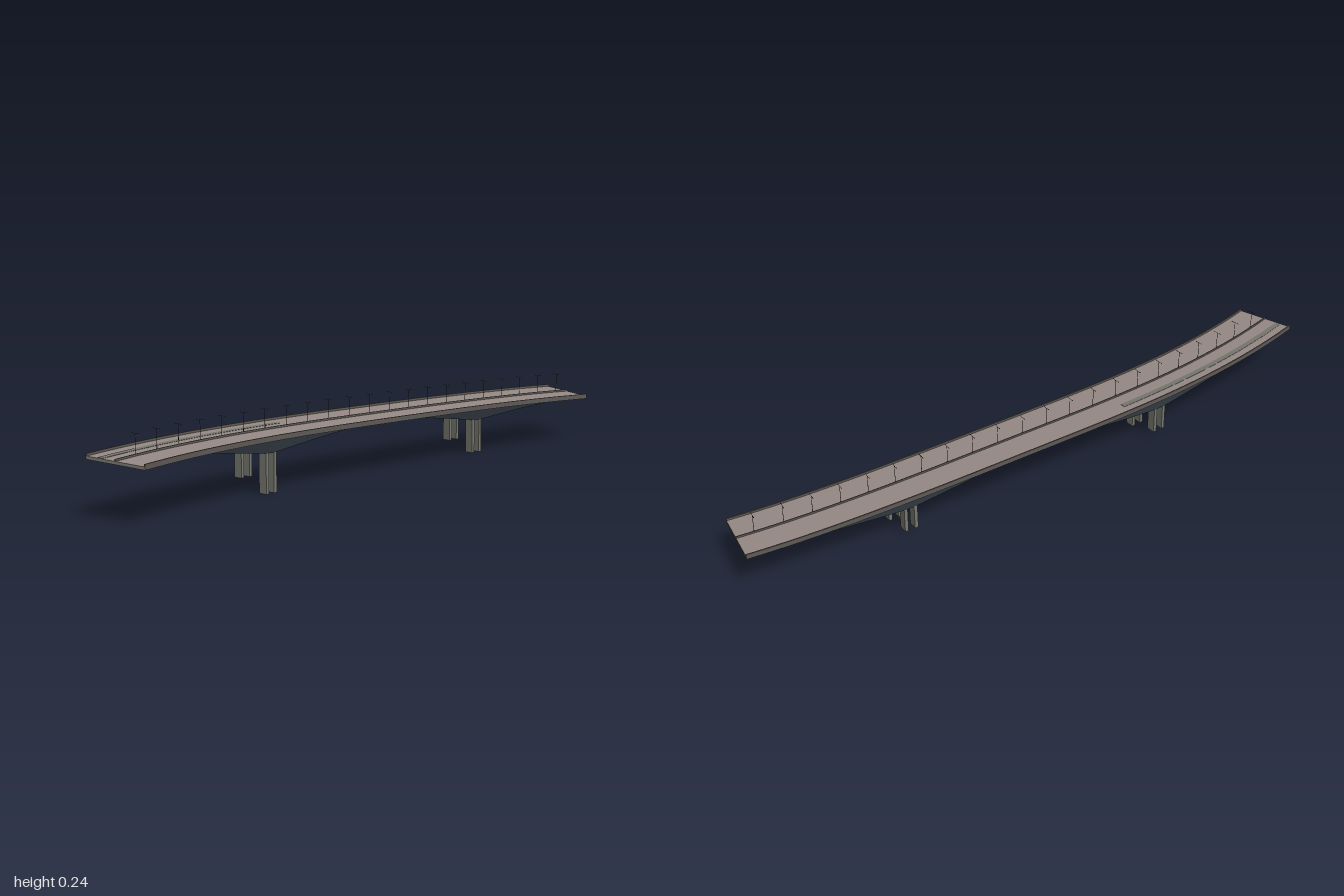
import * as THREE from 'three';

const mat = (name, color) => {
  const m = new THREE.MeshStandardMaterial({ color });
  m.name = name;
  return m;
};

// Road alignment: centre line in plan, height along it, and the point at
// offset u (towards the front) and h (above the parapet line).
const planZ = x => -0.057 + (x < 0
  ? 0.109 * Math.pow(-x / 0.9725, 2.67)
  : 0.039 * Math.pow(x / 0.983, 3.6));
const lineY = x => 0.178 - 0.0105 * x - 0.0075 * x * x;
const CROSSFALL = 0.06;
const slopeAt = x => (planZ(x + 0.001) - planZ(x - 0.001)) / 0.002;

function place(x, u, h, level = false) {
  const s = slopeAt(x), len = Math.hypot(1, s);
  const y = lineY(x) + h - (level ? 0 : u * CROSSFALL);
  return new THREE.Vector3(x - (u * s) / len, y, planZ(x) + u / len);
}

const X0 = -0.9725, X1 = 0.983;

// Sweep a four-point ring (back top, front top, front bottom, back bottom).
function sweep(name, material, ring, x0, x1, n, sides = [0, 1, 2, 3], caps = true) {
  const pos = [];
  const quad = (a, b, c, d) => [a, b, c, a, c, d].forEach(p => pos.push(p.x, p.y, p.z));
  const rings = [];
  for (let i = 0; i <= n; i++) rings.push(ring(x0 + ((x1 - x0) * i) / n));
  for (let i = 0; i < n; i++) {
    const r = rings[i], q = rings[i + 1];
    for (const j of sides) {
      const k = (j + 1) % 4;
      quad(r[j], r[k], q[k], q[j]);
    }
  }
  if (caps) {
    quad(...rings[n]);
    quad(...[...rings[0]].reverse());
  }
  const g = new THREE.BufferGeometry();
  g.setAttribute('position', new THREE.Float32BufferAttribute(pos, 3));
  g.computeVertexNormals();
  const mesh = new THREE.Mesh(g, material);
  mesh.name = name;
  return mesh;
}

// Rectangular section centred on offset u.
const box = (u, w, top, bottom) => x => [
  place(x, u - w / 2, top), place(x, u + w / 2, top),
  place(x, u + w / 2, bottom), place(x, u - w / 2, bottom),
];

export function createModel() {
  const road = mat('road surface', 0x968a85);
  const concrete = mat('concrete', 0x77776f);
  const barrier = mat('barrier', 0x5f5a57);
  const steel = mat('haunch steel', 0x3f4a53);
  const lampMetal = mat('lamp metal', 0x333333);

  const bridge = new THREE.Group();
  bridge.name = 'bridge';

  // Deck slab with its running surface
  const slab = box(0, 0.194, -0.007, -0.016);
  bridge.add(sweep('deckSlab', concrete, slab, X0, X1, 56, [1, 2, 3]));
  bridge.add(sweep('roadSurface', road, slab, X0, X1, 56, [0], false));
  bridge.add(sweep('pavedStrip', concrete, box(-0.053, 0.018, -0.0062, -0.0072), -0.968, -0.27, 24));

  // Edge parapets and the central barrier
  for (const side of [-1, 1])
    bridge.add(sweep(side < 0 ? 'backParapet' : 'frontParapet', barrier,
      box(side * 0.0955, 0.004, 0, -0.0155), X0, X1, 56));
  bridge.add(sweep('medianBarrier', barrier, box(0, 0.003, -0.001, -0.0072), X0, X1, 56));

  // Tapered haunches over the piers, and the piers themselves
  const supports = [
    { x: -0.41, from: -0.72, to: -0.08, depth: 0.046, foot: 0 },
    { x: 0.485, from: 0.18, to: 0.83, depth: 0.042, foot: 0.006 },
  ];
  supports.forEach(({ x: mid, from, to, depth, foot }) => {
    const ring = x => {
      const reach = x < mid ? mid - from : to - mid;
      const t = Math.max(0, Math.min(1, 1.06 * (1 - Math.abs(x - mid) / reach)));
      const k = Math.pow(t, 1.1), w = 0.088 - 0.021 * k;
      const bottom = u => {
        const p = place(x, u, -0.0155 - depth * k);
        p.y += u * CROSSFALL * k;
        return p;
      };
      return [place(x, -0.088, -0.0155), place(x, 0.088, -0.0155), bottom(w), bottom(-w)];
    };
    bridge.add(sweep('haunchSides', steel, ring, from, to, 24, [1, 3], false));
    bridge.add(sweep('haunchSoffit', concrete, ring, from, to, 24, [2], false));

    for (const dx of [-0.016, 0.016]) {
      for (const u of [-0.051, 0.051]) {
        const base = u > 0 ? foot : 0.034, top = 0.125;
        const pier = new THREE.Mesh(new THREE.BoxGeometry(0.011, top - base, 0.029), concrete);
        const p = place(mid + dx, u, 0);
        pier.position.set(p.x, (top + base) / 2, p.z);
        pier.rotation.y = -Math.atan(slopeAt(mid));
        pier.name = 'pier';
        bridge.add(pier);
      }
    }
  });

  // Twin-arm street lamps along the central barrier
  const postGeo = new THREE.CylinderGeometry(0.0006, 0.0009, 0.062, 6);
  const armGeo = new THREE.BoxGeometry(0.0008, 0.0008, 0.022);
  const headGeo = new THREE.BoxGeometry(0.0018, 0.001, 0.005);
  for (let i = 0; i < 22; i++) {
    const x = -0.89 + 0.0867 * i;
    const lamp = new THREE.Group();
    lamp.name = 'streetLamp';
    lamp.position.copy(place(x, 0, -0.007));
    lamp.rotation.y = -Math.atan(slopeAt(x));
    const add = (geo, name, y, z) => {
      const m = new THREE.Mesh(geo, lampMetal);
      m.name = name;
      m.position.set(0, y, z);
      lamp.add(m);
    };
    add(postGeo, 'lampPost', 0.031, 0);
    add(armGeo, 'lampArm', 0.062, 0);
    for (const s of [-1, 1]) add(headGeo, 'lampHead', 0.0625, s * 0.011);
    bridge.add(lamp);
  }
  return bridge;
}
